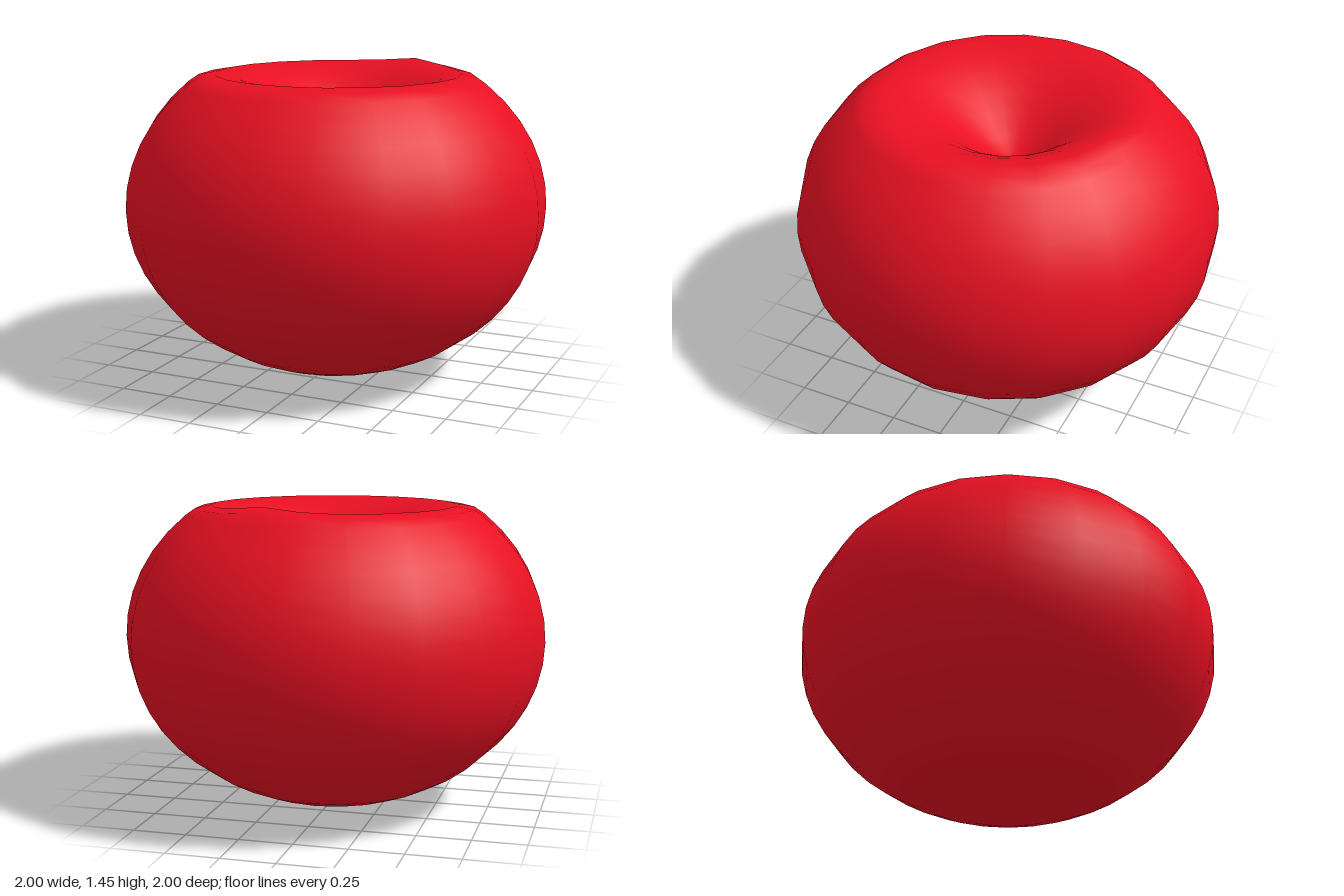
import * as THREE from 'three';
import { mergeVertices } from 'three/addons/utils/BufferGeometryUtils.js';

export function createModel() {
  const group = new THREE.Group();
  group.name = 'fruit';

  // Profile: squashed sphere from the base up to the rim
  const profile = [];
  for (let deg = -90; deg <= 45; deg += 7.5) {
    const a = THREE.MathUtils.degToRad(deg);
    profile.push(new THREE.Vector2(Math.max(0, Math.cos(a)), 0.81 + 0.81 * Math.sin(a)));
  }
  // Rounded rim, then the hollow where the stalk would sit
  for (const [r, y] of [[0.66, 1.415], [0.58, 1.43], [0.48, 1.41], [0.39, 1.375],
    [0.3, 1.325], [0.21, 1.26], [0.12, 1.19], [0.05, 1.15], [0, 1.14]]) {
    profile.push(new THREE.Vector2(r, y));
  }

  let geometry = new THREE.LatheGeometry(profile, 20);
  geometry.deleteAttribute('uv');
  geometry.deleteAttribute('normal');

  // Slightly uneven rim, and a hollow that leans off centre
  const p = geometry.attributes.position;
  for (let i = 0; i < p.count; i++) {
    const x = p.getX(i), y = p.getY(i), z = p.getZ(i);
    const r = Math.hypot(x, z);
    if (y < 1.1 || r > 0.67) continue;
    const bump = 0.025 * Math.exp(-((x - 0.18) ** 2 + (z + 0.55) ** 2) / 0.03);
    const lean = 1 - r / 0.67;
    p.setXYZ(i, x + 0.06 * lean, y + bump, z - 0.05 * lean);
  }
  geometry = mergeVertices(geometry, 1e-4);
  geometry.computeVertexNormals();

  const skin = new THREE.Mesh(geometry, new THREE.MeshStandardMaterial({ color: 0xe81022 }));
  skin.name = 'fruitSkin';
  group.add(skin);
  return group;
}
